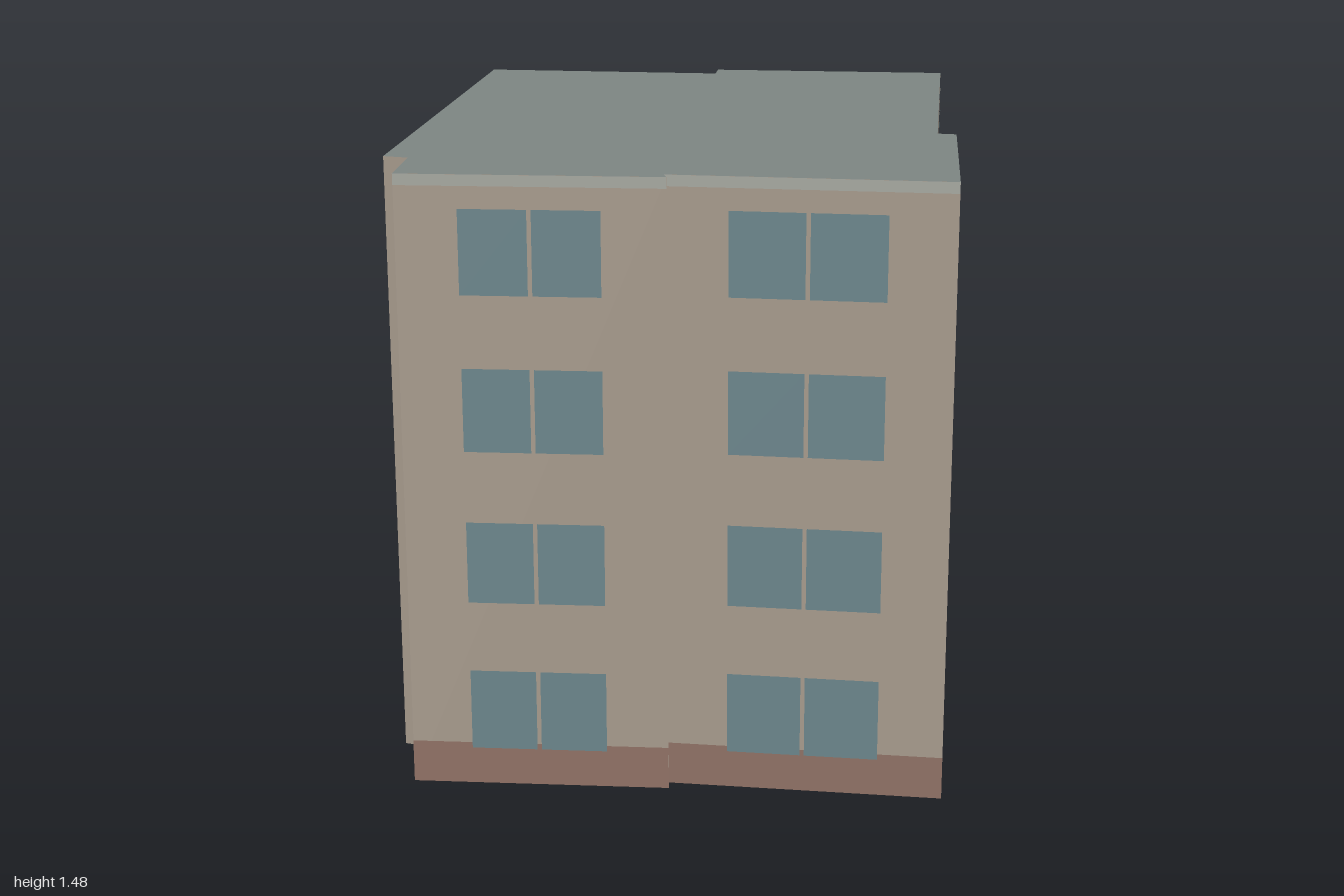
import * as THREE from 'three';

const HEIGHT = 1.475;
const mat = (color, side = THREE.FrontSide) => new THREE.MeshStandardMaterial({ color, side });
const MATS = {
  wall: mat(0xa69a8c, THREE.DoubleSide),
  roof: mat(0x7d8582, THREE.DoubleSide),
  plinth: mat(0x8f7165),
  cornice: mat(0xa5a79f),
  glass: mat(0x6b858b),
  panel: mat(0x7f8b82),
  rail: mat(0xa9b2ac),
};

// Footprint corners [x, z], in order along the walls; each wall starts at its corner.
// windows: [start, end, split] as fractions of the wall; split is 'all', 'ground' or ''.
const WALLS = [
  { at: [-1.0, 0.099], windows: [[0.234, 0.76, 'all']] },
  { at: [-0.568, 0.531] },
  { at: [-0.552, 0.504], windows: [[0.222, 0.766, 'all']] },
  { at: [-0.12, 0.995], windows: [[0.237, 0.775, 'all']] },
  { at: [0.307, 0.584] },
  { at: [0.28, 0.547], windows: [[0.13, 0.41, ''], [0.583, 0.866, 'ground']], balcony: [0.583, 0.866] },
  { at: [0.995, -0.12], windows: [[0.22, 0.758, 'all']] },
  { at: [0.563, -0.579] },
  { at: [0.51, -0.53], windows: [[0.226, 0.757, 'all']] },
  { at: [0.083, -1.0], windows: [[0.09, 0.288, ''], [0.404, 0.596, ''], [0.717, 0.914, 'ground']] },
  { at: [-0.899, -0.088] },
  { at: [-0.867, -0.035], windows: [[0.21, 0.745, 'all']] },
];

// Flat rectangle on a wall, from x0 to x1 and y0 to y1
function sheet(name, material, x0, x1, y0, y1, z) {
  const mesh = new THREE.Mesh(new THREE.PlaneGeometry(x1 - x0, y1 - y0), material);
  mesh.position.set((x0 + x1) / 2, (y0 + y1) / 2, z);
  mesh.name = name;
  return mesh;
}

function bar(name, material, x0, x1, y0, y1, depth, z) {
  const mesh = new THREE.Mesh(new THREE.BoxGeometry(x1 - x0, y1 - y0, depth), material);
  mesh.position.set((x0 + x1) / 2, (y0 + y1) / 2, z);
  mesh.name = name;
  return mesh;
}

// Four storeys of windows in one column, with a gap where the panes are split
function windowColumn(x0, x1, split) {
  const column = new THREE.Group();
  column.name = 'windowColumn';
  const mid = (x0 + x1) / 2, gap = 0.005;
  for (let floor = 0; floor < 4; floor++) {
    const y0 = 0.091 + floor * 0.3695, y1 = y0 + 0.198;
    if (split === 'all' || (split === 'ground' && floor === 0)) {
      column.add(sheet('windowPane', MATS.glass, x0, mid - gap, y0, y1, 0.003));
      column.add(sheet('windowPane', MATS.glass, mid + gap, x1, y0, y1, 0.003));
    } else {
      column.add(sheet('windowPane', MATS.glass, x0, x1, y0, y1, 0.003));
    }
  }
  return column;
}

// Shallow balcony guard with rails above and below the panel
function balconyGuard(x0, x1) {
  const guard = new THREE.Group();
  guard.name = 'balconyGuard';
  guard.add(bar('guardPanel', MATS.panel, x0, x1, 0.467, 0.525, 0.004, 0.008));
  guard.add(bar('topRail', MATS.rail, x0, x1, 0.525, 0.532, 0.008, 0.008));
  guard.add(bar('bottomRail', MATS.rail, x0, x1, 0.463, 0.467, 0.008, 0.008));
  return guard;
}

// One facade: local x runs along the wall, local z points outward
function facade(wall, next) {
  const [ax, az] = wall.at, dx = next.at[0] - ax, dz = next.at[1] - az;
  const length = Math.hypot(dx, dz);
  const group = new THREE.Group();
  group.name = wall.windows ? 'facade' : 'cornerReturn';
  group.position.set(ax, 0, az);
  group.rotation.y = Math.atan2(-dz, dx);
  group.add(sheet('wall', MATS.wall, 0, length, 0, HEIGHT, 0));
  if (wall.windows) {
    group.add(sheet('plinth', MATS.plinth, 0, length, 0, 0.104, 0.0015));
    group.add(sheet('cornice', MATS.cornice, 0, length, 1.449, HEIGHT, 0.0015));
    for (const [a, b, split] of wall.windows) group.add(windowColumn(a * length, b * length, split));
  }
  if (wall.balcony) group.add(balconyGuard(wall.balcony[0] * length, wall.balcony[1] * length));
  return group;
}

export function createModel() {
  const model = new THREE.Group();
  model.name = 'apartmentBlock';
  WALLS.forEach((wall, i) => model.add(facade(wall, WALLS[(i + 1) % WALLS.length])));

  // Flat roof over the footprint
  const outline = new THREE.Shape(WALLS.map(({ at }) => new THREE.Vector2(at[0], -at[1])));
  const roof = new THREE.Mesh(new THREE.ShapeGeometry(outline).rotateX(-Math.PI / 2), MATS.roof);
  roof.position.y = HEIGHT;
  roof.name = 'roof';
  model.add(roof);
  return model;
}
